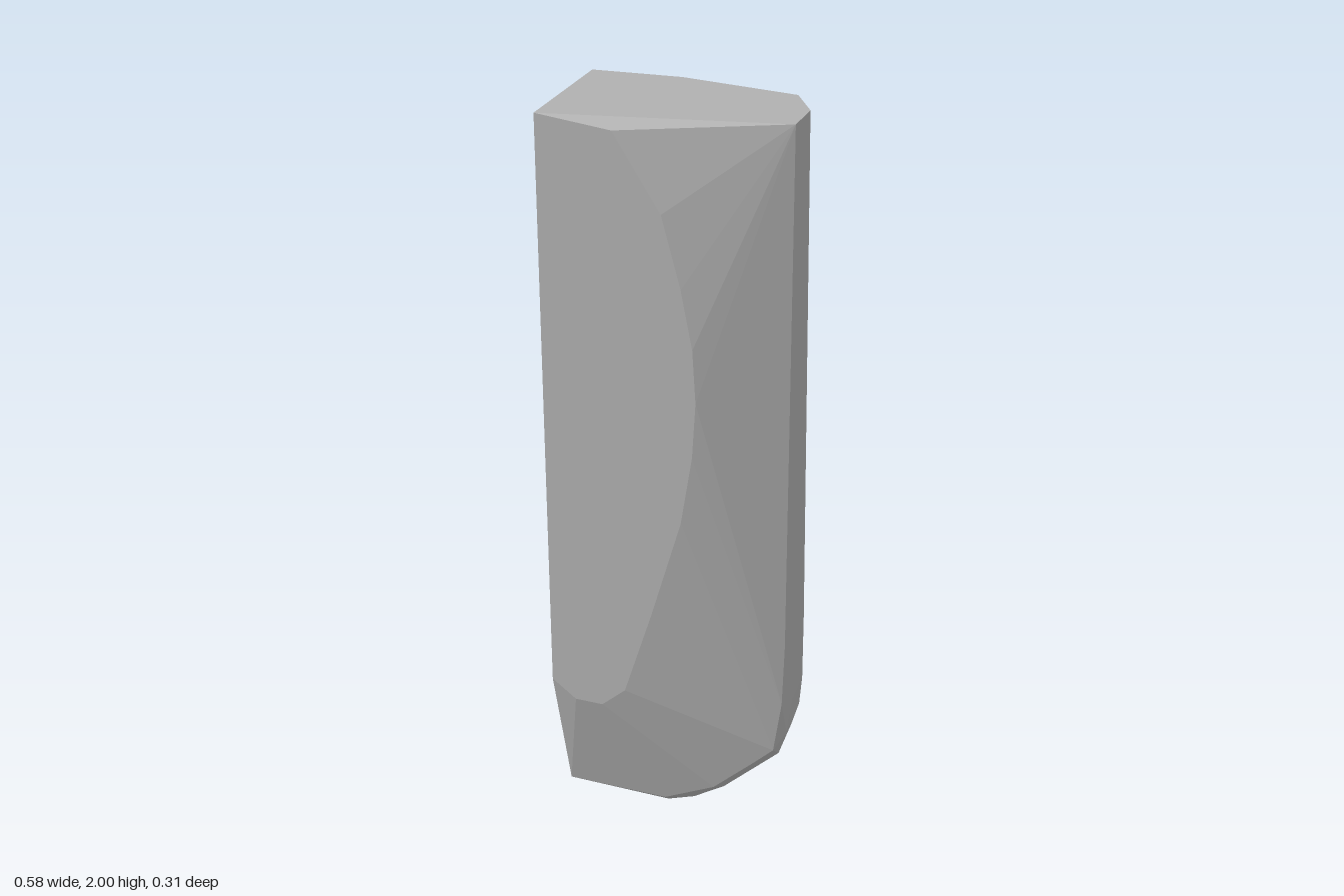
import * as THREE from 'three';
import { ConvexGeometry } from 'three/addons/geometries/ConvexGeometry.js';

export function createModel() {
  const group = new THREE.Group();
  const stone = new THREE.MeshStandardMaterial({ color: 0xb0b0b0 });
  stone.name = 'stone grey';
  const points = [];
  const add = (...list) => list.forEach(p => points.push(new THREE.Vector3(...p)));

  // Flat top with a slightly lowered front edge
  add([-0.236, 2, -0.085], [-0.036, 2, -0.11], [0.23, 2, -0.103],
    [0.275, 2, -0.04], [0.263, 2, 0.033], [-0.285, 2, 0.152], [-0.11, 1.985, 0.152]);

  // Bowed border of the raised front face
  const bow = [[0, 1.8], [0.045, 1.62], [0.072, 1.47], [0.08, 1.33], [0.072, 1.18],
    [0.045, 0.99], [-0.03, 0.7], [-0.1, 0.45], [-0.16, 0.39], [-0.23, 0.39], [-0.29, 0.44]];
  for (const [x, y] of bow) add([x, y, 0.152]);

  // Rounded lower edge: front rim, outer ridge and back rim
  const rim = [[-0.288, 0.03], [-0.03, 0.03], [0.1, 0.1], [0.2, 0.205], [0.255, 0.265]];
  for (const [x, y] of rim) add([x, y, 0.05]);
  for (const [x, y] of rim) add([x, y, x < 0 ? -0.135 : -0.14]);
  const ridge = [[-0.288, 0.003], [-0.03, 0], [0.04, 0.028], [0.12, 0.085],
    [0.205, 0.175], [0.262, 0.235], [0.281, 0.31]];
  for (const [x, y] of ridge) add([x, y, 0.022], [x, y, -0.095]);

  // Narrow right side
  add([0.274, 0.42, 0.05], [0.277, 0.6, 0.047], [0.288, 0.4, 0], [0.288, 0.4, -0.09],
    [0.288, 0.6, -0.005], [0.287, 0.6, -0.088], [0.275, 0.38, -0.14]);

  // Broad back
  add([-0.29, 0.36, -0.153], [-0.288, 0.1, -0.148], [-0.08, 0.58, -0.153],
    [0.22, 0.6, -0.15], [0.22, 0.37, -0.153]);

  const blade = new THREE.Mesh(new ConvexGeometry(points), stone);
  blade.name = 'facetedSlab';
  group.add(blade);
  return group;
}
